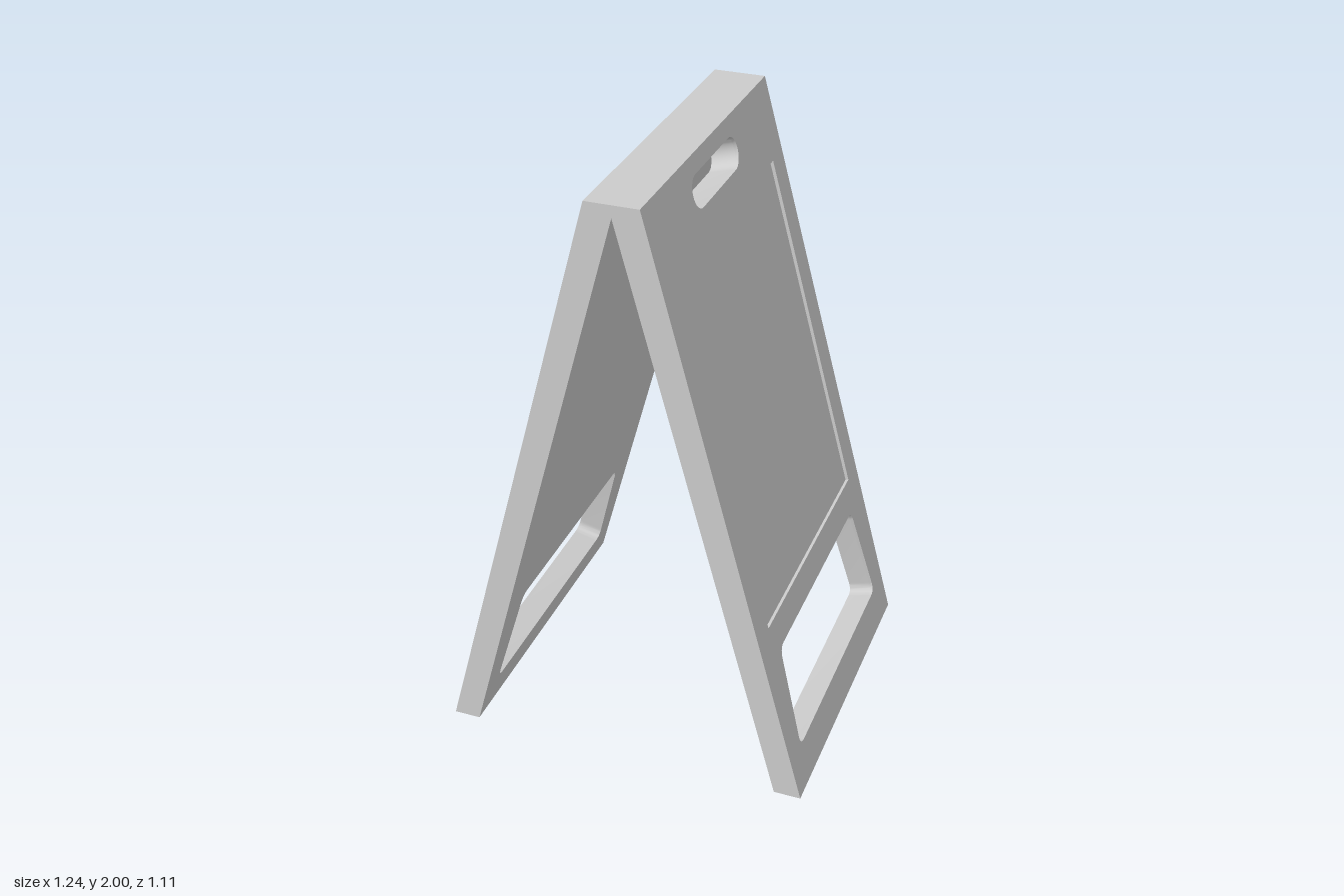
import * as THREE from 'three';
import { toCreasedNormals } from 'three/addons/utils/BufferGeometryUtils.js';

const HALF_WIDTH = 0.555;   // half depth of the board along z
const HEIGHT = 2;
const DROP = 0.0225;        // fall of a square cut through the leaning panel
const SKIN = 0.88;          // thickness fraction where the poster recess ends

// Closed outline with rounded corners; radius 0 keeps them sharp
function outline(Type, corners, radius) {
  const path = new Type();
  const pts = corners.map(([x, y]) => new THREE.Vector2(x, y));
  pts.forEach((p, i) => {
    const prev = pts[(i + pts.length - 1) % pts.length];
    const next = pts[(i + 1) % pts.length];
    const a = p.clone().add(prev.clone().sub(p).setLength(radius));
    const b = p.clone().add(next.clone().sub(p).setLength(radius));
    if (i === 0) path.moveTo(a.x, a.y); else path.lineTo(a.x, a.y);
    if (radius > 0) path.quadraticCurveTo(p.x, p.y, b.x, b.y);
  });
  path.closePath();
  return path;
}

// Carrying slot with half-round ends
function handleSlot() {
  const r = 0.051, y = 1.892, x = 0.149;
  const slot = new THREE.Path();
  slot.absarc(x, y, r, -Math.PI / 2, Math.PI / 2, false);
  slot.absarc(-x, y, r, Math.PI / 2, Math.PI * 1.5, false);
  slot.closePath();
  return slot;
}

const footWindow = () => outline(THREE.Path,
  [[-0.452, 0.13], [0.452, 0.13], [0.412, 0.476], [-0.412, 0.476]], 0.035);

const posterRecess = () => outline(THREE.Path,
  [[-0.458, 0.58], [0.458, 0.58], [0.458, 1.752], [-0.458, 1.752]], 0);

// Lean a flat layer: z 0 is the inner face, z 1 the outer face.
// Ends are trimmed level with the floor and mitred at the ridge.
function lean(geometry) {
  const pos = geometry.attributes.position;
  const mix = THREE.MathUtils.lerp;
  for (let i = 0; i < pos.count; i++) {
    const u = pos.getX(i), v = pos.getY(i), t = pos.getZ(i);
    let innerY = v - DROP;
    if (v < 1e-6) innerY = 0;
    if (v > HEIGHT - 1e-6) innerY = 1.96;
    const innerX = 0.53 * (1 - innerY / 1.96);
    const outerX = mix(0.62, 0.086, v / HEIGHT);
    pos.setXYZ(i, mix(innerX, outerX, t), mix(innerY, v, t), -u);
  }
  return toCreasedNormals(geometry, 0.4);
}

// One layer of a panel between two thickness fractions
function panelLayer(name, from, to, holes, material) {
  const shape = outline(THREE.Shape, [[-HALF_WIDTH, 0], [HALF_WIDTH, 0],
    [HALF_WIDTH, HEIGHT], [-HALF_WIDTH, HEIGHT]], 0);
  shape.holes.push(...holes);
  const geometry = new THREE.ExtrudeGeometry(shape,
    { depth: to - from, bevelEnabled: false, curveSegments: 10 });
  geometry.translate(0, 0, from);
  const mesh = new THREE.Mesh(lean(geometry), material);
  mesh.name = name;
  return mesh;
}

export function createModel() {
  const model = new THREE.Group();
  model.name = 'sandwichBoard';
  const material = new THREE.MeshStandardMaterial({ color: 0xcccccc });

  // Two mirrored leaning panels
  for (const side of ['left', 'right']) {
    const panel = new THREE.Group();
    panel.name = `${side}Panel`;
    panel.add(
      panelLayer('panelCore', 0, SKIN, [handleSlot(), footWindow()], material),
      panelLayer('posterFrame', SKIN, 1,
        [handleSlot(), footWindow(), posterRecess()], material));
    if (side === 'right') panel.rotation.y = Math.PI;
    model.add(panel);
  }

  // Ridge wedge that closes the flat top
  const wedge = outline(THREE.Shape, [[-0.086, 2], [0, 1.96], [0.086, 2]], 0);
  const ridge = new THREE.Mesh(new THREE.ExtrudeGeometry(wedge,
    { depth: HALF_WIDTH * 2, bevelEnabled: false }), material);
  ridge.position.z = -HALF_WIDTH;
  ridge.name = 'topRidge';
  model.add(ridge);

  return model;
}
